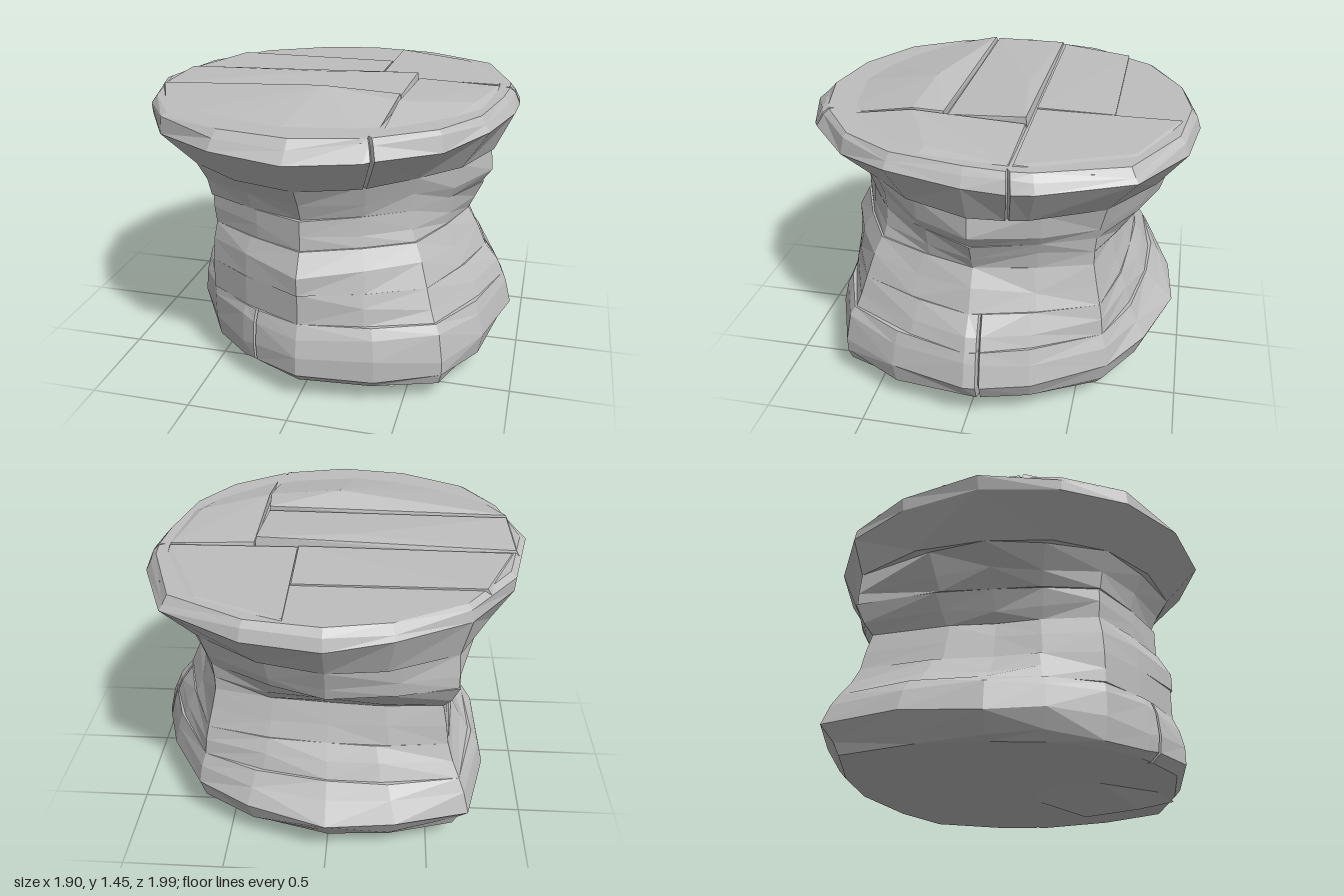
import * as THREE from 'three';
import { ConvexGeometry } from 'three/addons/geometries/ConvexGeometry.js';

// main directions of a layer outline in degrees, from +x towards +z
const DIRS = [0, 45, 90, 135, 180, 229, 270, 315, 360];

// repeatable value in -1..1
function noise(a, b) {
  const s = Math.sin(a * 127.1 + b * 311.7) * 43758.5453;
  return (s - Math.floor(s)) * 2 - 1;
}

// radius at an angle; flat 0 gives round sides between the directions, 1 gives straight sides
function radiusAt(radii, deg, flat) {
  const i = DIRS.findIndex((d) => d > deg) - 1;
  const a = THREE.MathUtils.degToRad(deg - DIRS[i]);
  const b = THREE.MathUtils.degToRad(DIRS[i + 1] - deg);
  const r = radii[i], s = radii[(i + 1) % 8];
  const round = (r * b + s * a) / (a + b);
  const straight = (r * s * Math.sin(a + b)) / (r * Math.sin(a) + s * Math.sin(b));
  return THREE.MathUtils.lerp(round, straight, flat);
}

// one chipped stone layer; each ring is [y, eight radii], cracks are angles in degrees
function stratum(rings, flat, cracks, seed) {
  const steps = [];
  for (let i = 0; i < 8; i++) {
    steps.push({ deg: DIRS[i], pinch: 1, id: i * 2 });
    steps.push({ deg: (DIRS[i] + DIRS[i + 1]) / 2 + 3 * noise(i, seed), pinch: 1, id: i * 2 + 1 });
  }
  for (const deg of cracks) {
    [-0.6, 0, 0.6].forEach((d, k) =>
      steps.push({ deg: deg + d, pinch: k === 1 ? 0.965 : 1, id: -1 }));
  }
  steps.sort((p, q) => p.deg - q.deg);
  const n = steps.length;

  const grid = rings.map(([y, ...radii], r) => steps.map(({ deg, pinch, id }) => {
    const inner = r > 0 && r < rings.length - 1 && id >= 0;
    const rad = radiusAt(radii, deg, flat) * pinch;
    const lift = inner ? 0.022 * noise(id + 9, seed + r) : 0;
    const a = THREE.MathUtils.degToRad(deg);
    return new THREE.Vector3(Math.cos(a) * rad, y + lift, Math.sin(a) * rad);
  }));

  const pos = [];
  const tri = (...pts) => pts.forEach((p) => pos.push(p.x, p.y, p.z));
  const last = grid.length - 1;
  const low = new THREE.Vector3(0, rings[0][0], 0);
  const high = new THREE.Vector3(0, rings[last][0], 0);
  for (let j = 0; j < n; j++) {
    const k = (j + 1) % n;
    for (let r = 0; r < last; r++) {
      const a = grid[r][j], b = grid[r][k], c = grid[r + 1][j], d = grid[r + 1][k];
      if (noise(j, seed + r * 7) > 0) { tri(a, c, b); tri(b, c, d); }
      else { tri(a, d, b); tri(a, c, d); }
    }
    tri(low, grid[0][j], grid[0][k]);
    tri(high, grid[last][k], grid[last][j]);
  }
  const geo = new THREE.BufferGeometry();
  geo.setAttribute('position', new THREE.Float32BufferAttribute(pos, 3));
  geo.computeVertexNormals();
  return geo;
}

// convex chunk of stone from a few corners
function chunk(points) {
  return new ConvexGeometry(points.map((p) => new THREE.Vector3(...p)));
}

export function createModel() {
  const group = new THREE.Group();
  const stone = new THREE.MeshStandardMaterial({ color: 0xbebebe });
  stone.name = 'grey stone';
  const add = (name, geo) => {
    const mesh = new THREE.Mesh(geo, stone);
    mesh.name = name;
    group.add(mesh);
  };

  // stacked layers: wide foot, narrow waist with a sharp back right corner, flared cap
  add('footLayer', stratum([
    [0.10, 0.82, 0.94, 0.80, 0.68, 0.66, 0.96, 0.84, 0.86],
    [0.14, 0.90, 0.96, 0.85, 0.72, 0.70, 0.99, 0.88, 0.90],
    [0.23, 0.95, 0.96, 0.85, 0.74, 0.77, 1.06, 0.95, 0.93],
    [0.345, 0.92, 0.93, 0.83, 0.74, 0.75, 1.02, 0.86, 0.91],
    [0.405, 0.90, 0.90, 0.80, 0.73, 0.70, 0.98, 0.80, 0.88],
  ], 0.4, [108, 356], 1));
  add('ankleLayer', stratum([
    [0.405, 0.90, 0.89, 0.80, 0.74, 0.70, 0.98, 0.79, 0.88],
    [0.47, 0.87, 0.86, 0.80, 0.74, 0.64, 0.93, 0.75, 0.87],
    [0.56, 0.80, 0.82, 0.80, 0.74, 0.58, 0.89, 0.70, 0.85],
  ], 0.6, [356], 2));
  add('lowerWaistLayer', stratum([
    [0.56, 0.80, 0.82, 0.81, 0.74, 0.58, 0.89, 0.70, 0.85],
    [0.66, 0.75, 0.77, 0.81, 0.73, 0.56, 0.87, 0.67, 0.82],
    [0.76, 0.70, 0.72, 0.75, 0.71, 0.54, 0.84, 0.64, 0.79],
  ], 0.7, [], 3));
  add('middleWaistLayer', stratum([
    [0.76, 0.70, 0.71, 0.74, 0.71, 0.53, 0.84, 0.64, 0.79],
    [0.83, 0.73, 0.69, 0.74, 0.72, 0.57, 0.89, 0.72, 0.79],
    [0.91, 0.77, 0.68, 0.74, 0.72, 0.62, 0.94, 0.82, 0.80],
  ], 0.7, [], 4));
  add('upperWaistLayer', stratum([
    [0.91, 0.76, 0.68, 0.72, 0.73, 0.62, 0.93, 0.83, 0.80],
    [0.98, 0.81, 0.69, 0.76, 0.75, 0.68, 0.93, 0.85, 0.82],
    [1.087, 0.80, 0.72, 0.82, 0.80, 0.78, 0.92, 0.89, 0.86],
  ], 0.6, [], 5));
  add('capLayer', stratum([
    [1.087, 0.81, 0.72, 0.82, 0.80, 0.78, 0.92, 0.89, 0.86],
    [1.275, 0.90, 0.90, 0.99, 0.97, 0.93, 0.98, 1.00, 1.05],
    [1.335, 0.87, 0.88, 0.93, 0.96, 0.95, 0.97, 0.98, 1.03],
    [1.36, 0.84, 0.86, 0.89, 0.93, 0.92, 0.94, 0.95, 1.00],
  ], 0.1, [67, 347], 6));

  // overlapping split slabs across the top
  add('frontTopSlab', chunk([
    [-0.89, 1.34, 0.2], [-0.67, 1.34, 0.64], [-0.44, 1.33, 0.8], [-0.1, 1.33, 0.88], [0.34, 1.33, 0.8],
    [0.37, 1.34, 0.21], [-0.87, 1.38, 0.21], [0, 1.45, 0.33], [0.37, 1.41, 0.36], [0.36, 1.4, 0.21],
  ]));
  add('leftTopSlab', chunk([
    [0.37, 1.34, 0.79], [0.58, 1.34, 0.6], [0.8, 1.34, 0.25], [0.82, 1.34, -0.2], [0.39, 1.34, -0.2],
    [0.38, 1.405, 0.36], [0.72, 1.38, 0.2], [0.39, 1.38, -0.19], [0.8, 1.365, -0.19],
  ]));
  add('middleTopSlab', chunk([
    [-0.89, 1.34, 0.195], [0.37, 1.34, 0.195], [0.385, 1.34, -0.2], [-0.9, 1.34, -0.2],
    [-0.87, 1.375, 0.19], [0.36, 1.385, 0.19], [0.38, 1.41, -0.19], [-0.1, 1.405, -0.12], [-0.88, 1.37, -0.19],
  ]));
  add('backTopSlab', chunk([
    [-0.88, 1.34, -0.205], [0.17, 1.34, -0.205], [0.17, 1.34, -0.59], [-0.73, 1.34, -0.59],
    [-0.86, 1.365, -0.21], [0.17, 1.375, -0.21], [0.17, 1.368, -0.59], [-0.71, 1.37, -0.59],
  ]));
  add('backLeftTopSlab', chunk([
    [0.175, 1.34, -0.205], [0.82, 1.34, -0.205], [0.78, 1.34, -0.55], [0.62, 1.34, -0.76], [0.175, 1.34, -0.93],
    [0.175, 1.37, -0.21], [0.8, 1.366, -0.21], [0.175, 1.367, -0.9], [0.58, 1.365, -0.72],
  ]));

  // shallow knob under the foot, running out towards the front left
  add('undersideKnob', chunk([
    [-0.03, 0.105, 0.25], [0.12, 0.105, 0.05], [0.3, 0.105, 0.04], [0.57, 0.105, 0.46], [0.46, 0.105, 0.76],
    [0.25, 0.105, 0.7], [0.02, 0.105, 0.4], [0.29, 0, 0.3], [0.29, 0.025, 0.58],
  ]));

  return group;
}
